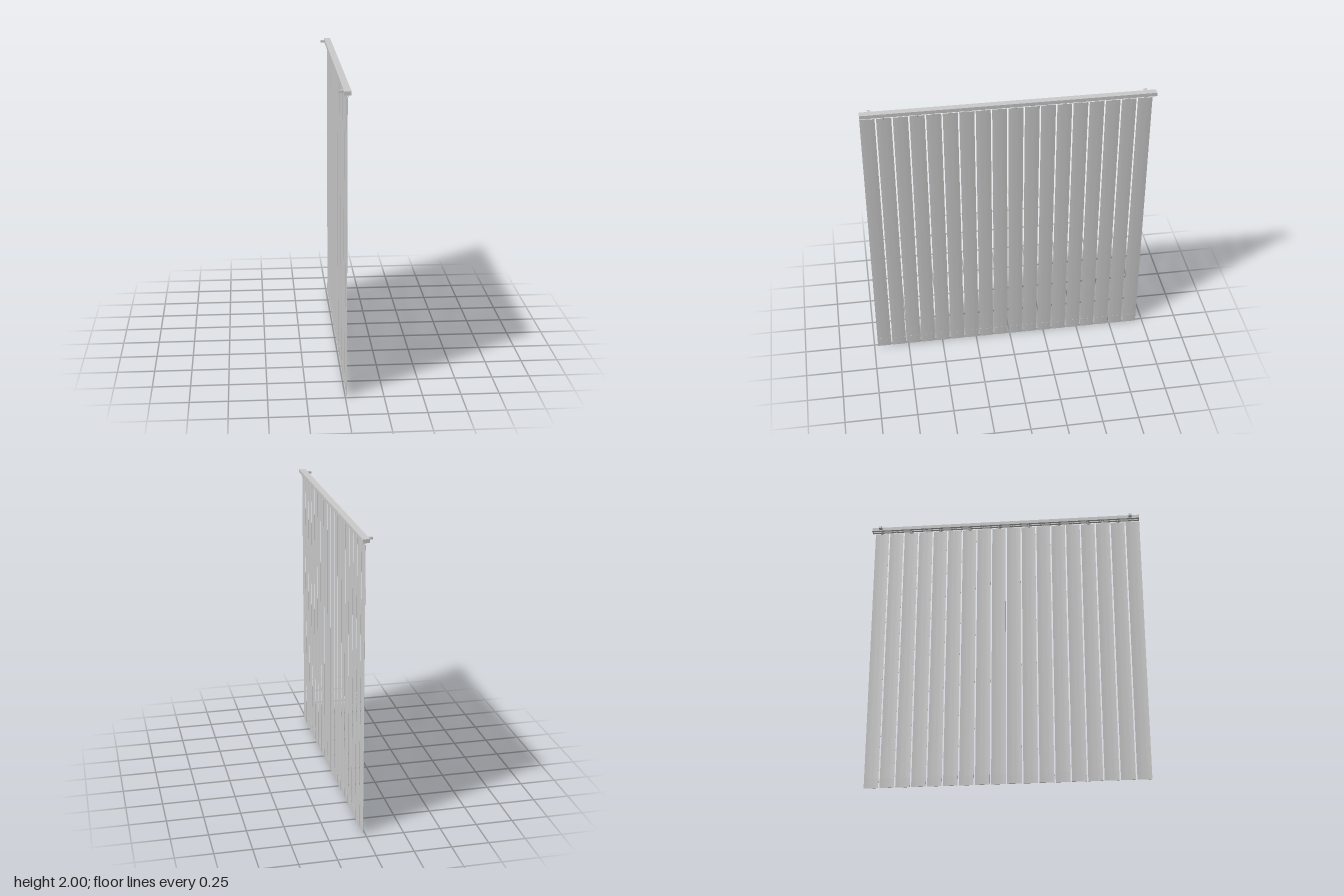
import * as THREE from 'three';
import { toCreasedNormals } from 'three/addons/utils/BufferGeometryUtils.js';

const SLATS = 18, PITCH = 0.1075, FIRST_Z = 0.926, SLAT_X = 0.012;
const grey = new THREE.MeshStandardMaterial({ color: 0xcccccc, side: THREE.DoubleSide });

function add(parent, name, geometry, x = 0, y = 0, z = 0) {
  const mesh = new THREE.Mesh(geometry, grey);
  mesh.name = name;
  mesh.position.set(x, y, z);
  parent.add(mesh);
  return mesh;
}

// Thin, gently bowed strip standing upright, its width along z
function bowedStrip(width, height, thickness, bow) {
  const shape = new THREE.Shape();
  const n = 10, side = [];
  for (let i = 0; i <= n; i++) {
    const t = (i / n) * 2 - 1;
    side.push([bow * (0.5 - t * t), t * width / 2]);
  }
  shape.moveTo(side[0][0] + thickness / 2, side[0][1]);
  side.slice(1).forEach(([x, y]) => shape.lineTo(x + thickness / 2, y));
  side.reverse().forEach(([x, y]) => shape.lineTo(x - thickness / 2, y));
  const g = new THREE.ExtrudeGeometry(shape, { depth: height, bevelEnabled: false });
  g.rotateX(-Math.PI / 2);
  return toCreasedNormals(g, 0.6);
}

export function createModel() {
  const model = new THREE.Group();
  model.name = 'verticalBlind';

  // Head rail: channel with a slot along the underside
  const profile = new THREE.Shape([
    [-0.01, 1.975], [0.006, 1.975], [0.006, 1.979], [-0.006, 1.979], [-0.006, 1.996],
    [0.031, 1.996], [0.031, 1.979], [0.019, 1.979], [0.019, 1.975], [0.035, 1.975],
    [0.035, 2], [-0.01, 2],
  ].map(([x, y]) => new THREE.Vector2(x, y)));
  const railGeo = new THREE.ExtrudeGeometry(profile, { depth: 1.94, bevelEnabled: false });
  add(model, 'headRail', railGeo, 0, 0, -0.97);
  for (const s of [-1, 1]) {
    add(model, 'railEndCap', new THREE.BoxGeometry(0.045, 0.025, 0.005), 0.0125, 1.9875, s * 0.9725);
    // Wall bracket behind the rail
    add(model, 'wallBracket', new THREE.BoxGeometry(0.032, 0.015, 0.022), -0.025, 1.9875, s * 0.91);
  }

  // Shared slat, bottom weight and hanger geometry
  const slatGeo = bowedStrip(0.098, 1.888, 0.001, 0.002);
  const weightGeo = bowedStrip(0.098, 0.068, 0.003, 0.002);
  const carrierGeo = new THREE.BoxGeometry(0.028, 0.01, 0.024);
  const stemGeo = new THREE.CylinderGeometry(0.0025, 0.0025, 0.02, 8);
  const hookGeo = new THREE.TubeGeometry(new THREE.CatmullRomCurve3([
    new THREE.Vector3(0, 0.012, 0), new THREE.Vector3(0.005, 0.004, 0),
    new THREE.Vector3(0.004, -0.008, 0), new THREE.Vector3(0, -0.014, 0),
  ]), 8, 0.0015, 6);
  const clipGeo = new THREE.BoxGeometry(0.004, 0.005, 0.026);

  for (let i = 0; i < SLATS; i++) {
    const unit = new THREE.Group();
    unit.name = 'slatUnit';
    unit.position.set(SLAT_X, 0, FIRST_Z - i * PITCH);
    model.add(unit);
    add(unit, 'slat', slatGeo, 0, 0.068, 0);
    add(unit, 'bottomWeight', weightGeo);
    add(unit, 'carrier', carrierGeo, 0, 1.985, 0);
    add(unit, 'hangerStem', stemGeo, 0, 1.972, 0);
    add(unit, 'hangerHook', hookGeo, 0, 1.96, 0);
    add(unit, 'hangerClip', clipGeo, 0, 1.956, 0);
  }
  return model;
}
